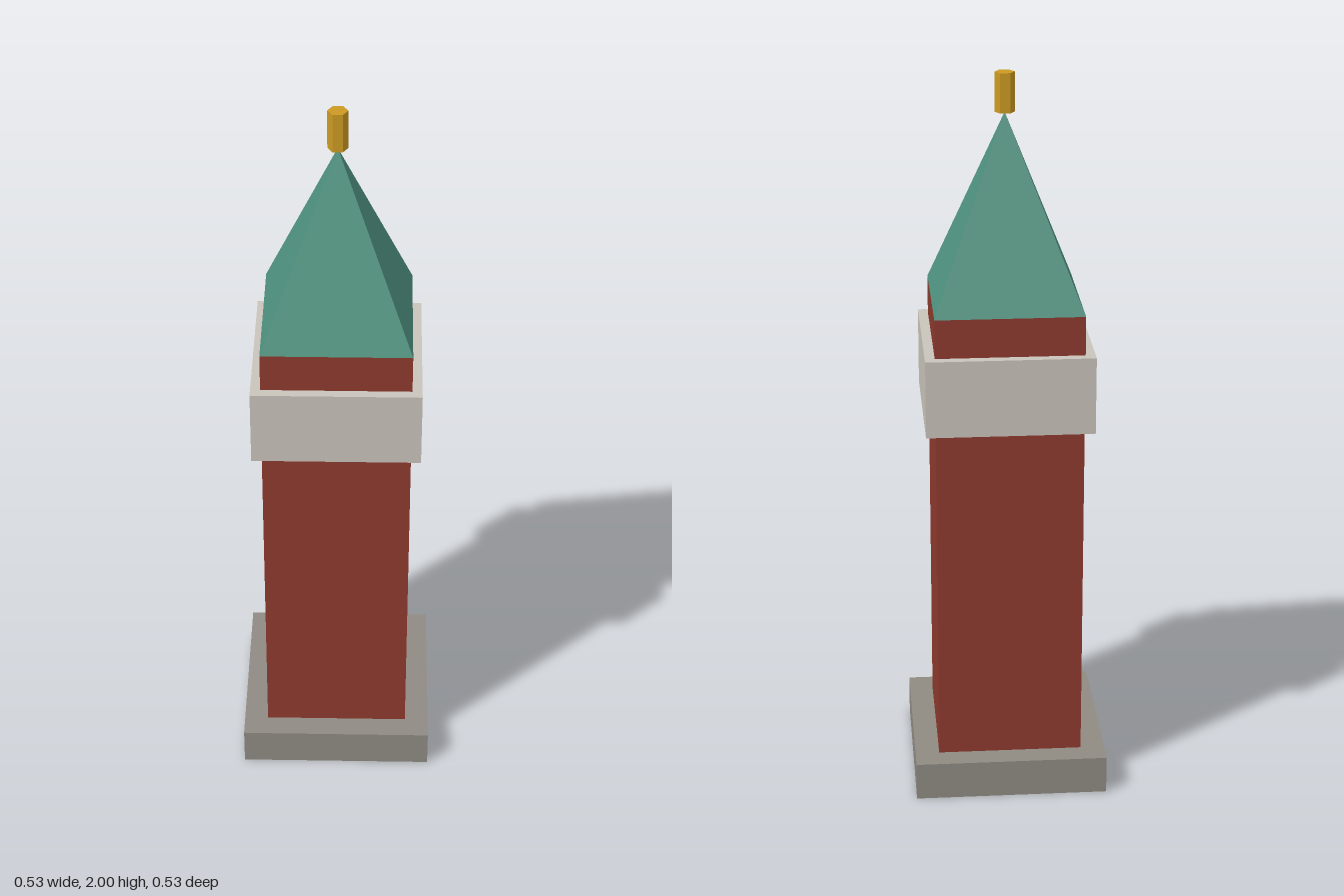
import * as THREE from 'three';

const material = (name, color) => {
  const m = new THREE.MeshStandardMaterial({ color, flatShading: true });
  m.name = name;
  return m;
};

export function createModel() {
  const tower = new THREE.Group();
  tower.name = 'tower';

  const stone = material('grey stone', 0x8f8a82);
  const brick = material('red brick', 0x8f3a2e);
  const trim = material('pale trim', 0xc9c4bb);
  const copper = material('green copper', 0x4f9280);
  const gold = material('gold', 0xcc9a22);

  // Adds a part spanning the heights from bottom to top
  const add = (name, geometry, mat, bottom, top) => {
    const mesh = new THREE.Mesh(geometry, mat);
    mesh.name = name;
    mesh.position.y = (bottom + top) / 2;
    tower.add(mesh);
    return mesh;
  };
  const block = (name, width, mat, bottom, top) =>
    add(name, new THREE.BoxGeometry(width, top - bottom, width), mat, bottom, top);

  // Square body
  block('base', 0.5333, stone, 0, 0.1067);
  block('shaft', 0.4, brick, 0.1067, 1.3867);
  block('band', 0.4533, trim, 1.0667, 1.28);

  // Four-sided roof, turned so its sides line up with the shaft
  const roof = new THREE.ConeGeometry(0.2 * Math.SQRT2, 0.5067, 4);
  roof.rotateY(Math.PI / 4);
  add('roof', roof, copper, 1.3867, 1.8933);

  // Hexagonal finial with corners pointing left and right
  const finial = new THREE.CylinderGeometry(0.0267, 0.0267, 0.1067, 6);
  finial.rotateY(Math.PI / 2);
  add('finial', finial, gold, 1.8933, 2);

  return tower;
}
